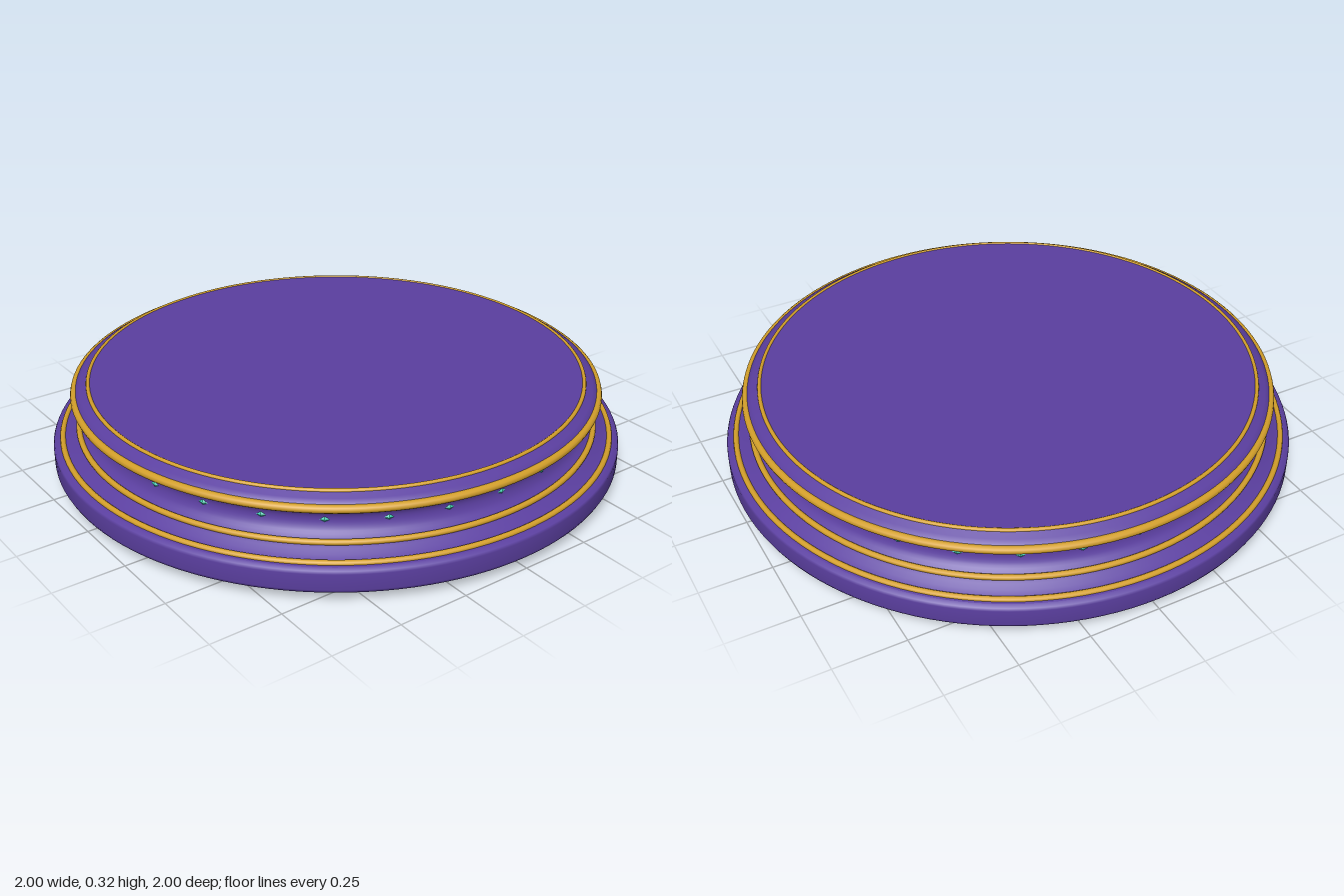
import * as THREE from 'three';

const purple = new THREE.MeshStandardMaterial({ color: 0x5b3fa0, side: THREE.DoubleSide });
purple.name = 'royal purple';
const gold = new THREE.MeshStandardMaterial({ color: 0xd4a02a });
gold.name = 'gold';
const teal = new THREE.MeshStandardMaterial({ color: 0x40d0b4 });
teal.name = 'teal gem';

const SEGMENTS = 128;

export function createModel() {
  const model = new THREE.Group();
  model.name = 'roundPedestal';

  const add = (name, geometry, material) => {
    const mesh = new THREE.Mesh(geometry, material);
    mesh.name = name;
    model.add(mesh);
    return mesh;
  };

  // Turned shell section; a smooth section runs a curve through its points
  const turned = (name, profile, smooth = false) => {
    let points = profile.map(([r, y]) => new THREE.Vector2(r, y));
    if (smooth) points = new THREE.SplineCurve(points).getPoints(16);
    return add(name, new THREE.LatheGeometry(points, SEGMENTS), purple);
  };

  // Hollow shell, open underneath, from the bottom up
  turned('basePlinth', [[0.982, 0.033], [0.994, 0.038], [1, 0.05], [1, 0.105], [0.996, 0.114], [0.982, 0.12]]);
  turned('baseShoulder', [[0.982, 0.12], [0.965, 0.124], [0.94, 0.137], [0.925, 0.148], [0.908, 0.158]]);
  turned('concaveBand', [[0.908, 0.158], [0.88, 0.182], [0.868, 0.215], [0.876, 0.243], [0.908, 0.27]], true);
  turned('upperRim', [[0.908, 0.27], [0.915, 0.28], [0.91, 0.293], [0.895, 0.303], [0.875, 0.311], [0.868, 0.317]]);
  turned('topPlate', [[0.868, 0.317], [0, 0.317]]);

  // Gold trim rings: radius, height, thickness
  const ring = (name, radius, y, tube) => {
    const mesh = add(name, new THREE.TorusGeometry(radius, tube, 10, SEGMENTS), gold);
    mesh.rotation.x = Math.PI / 2;
    mesh.position.y = y;
  };
  ring('baseRing', 0.966, 0.124, 0.010);
  ring('lowerBandRing', 0.908, 0.16, 0.010);
  ring('upperBandRing', 0.915, 0.279, 0.014);
  ring('topRing', 0.866, 0.314, 0.007);

  // Small gems set around the concave band
  const gemGeometry = new THREE.OctahedronGeometry(1).scale(0.016, 0.010, 0.006);
  const GEMS = 28;
  for (let i = 0; i < GEMS; i++) {
    const angle = (i / GEMS) * Math.PI * 2;
    const gem = add('gem', gemGeometry, teal);
    gem.position.set(Math.sin(angle) * 0.868, 0.215, Math.cos(angle) * 0.868);
    gem.rotation.y = angle;
  }

  // Four flattened ball feet on the diagonals
  const footGeometry = new THREE.SphereGeometry(1, 24, 16).scale(0.067, 0.037, 0.067);
  for (const x of [-0.637, 0.637]) {
    for (const z of [-0.637, 0.637]) {
      add('foot', footGeometry, gold).position.set(x, 0.037, z);
    }
  }

  return model;
}
